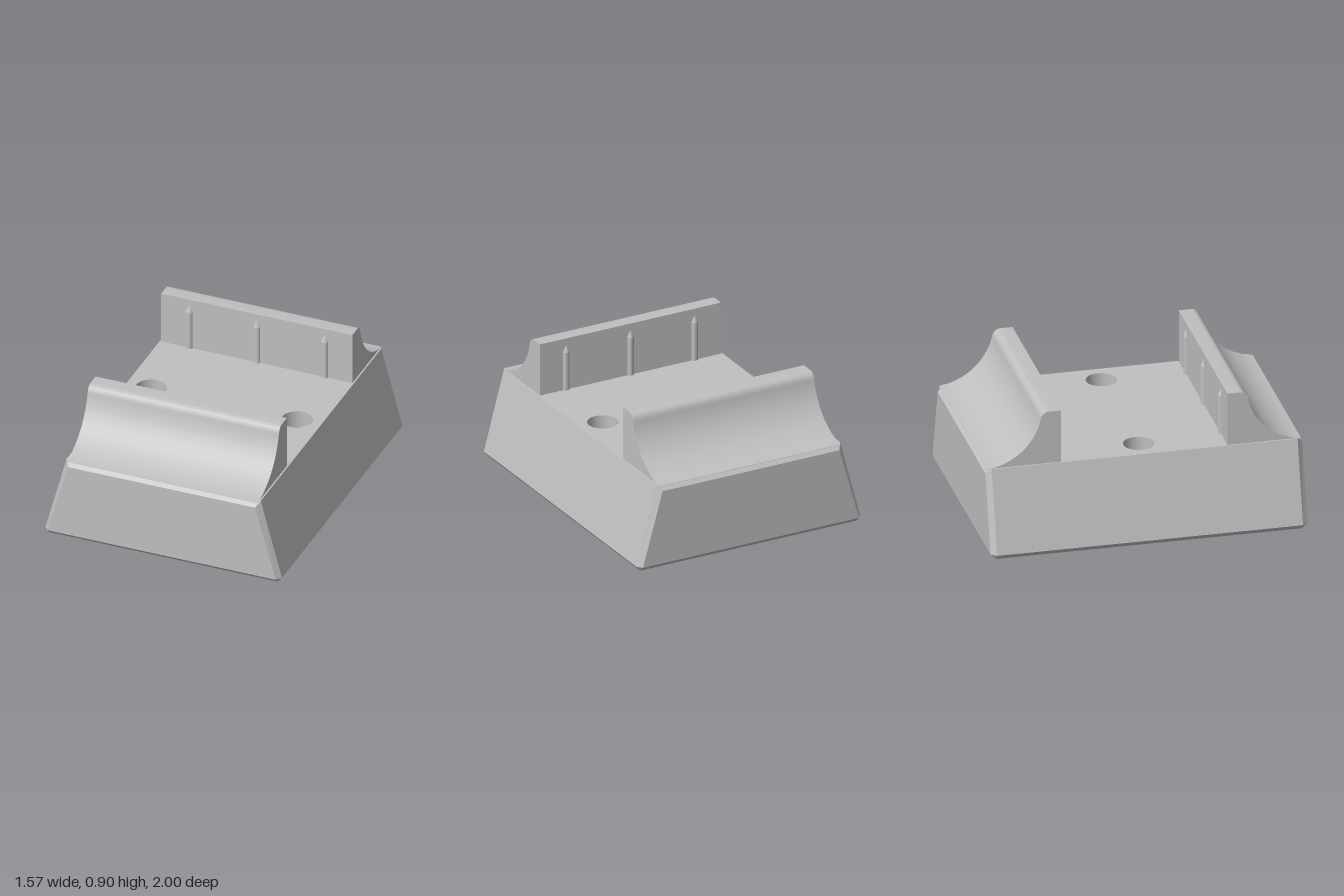
import * as THREE from 'three';
import { toCreasedNormals } from 'three/addons/utils/BufferGeometryUtils.js';

const TOP = 0.555, HOLE_X = 0.485, HOLE_R = 0.097;
const GROOVE_Z = 0.85, GROOVE_R = 0.055, GROOVE_L = 0.41;

// Octagonal loop: half-width x / cx and half-depth z / cz around chamfered corners
function section([y, x, z, cx, cz]) {
  return [[-cx, cz], [cx, cz], [x, z], [x, -z], [cx, -cz], [-cx, -cz], [-x, -z], [-x, z]]
    .map(([px, pz]) => [px, y, pz]);
}

// Flat-faced skin between successive loops
function skin(loops) {
  const pos = [];
  for (let l = 0; l < loops.length - 1; l++) {
    const a = loops[l], b = loops[l + 1];
    for (let i = 0; i < a.length; i++) {
      const j = (i + 1) % a.length;
      pos.push(...a[i], ...a[j], ...b[j], ...a[i], ...b[j], ...b[i]);
    }
  }
  const g = new THREE.BufferGeometry();
  g.setAttribute('position', new THREE.Float32BufferAttribute(pos, 3));
  g.computeVertexNormals();
  return g;
}

function rect(shape, x0, y0, x1, y1) {
  shape.moveTo(x0, y0).lineTo(x1, y0).lineTo(x1, y1).lineTo(x0, y1).closePath();
  return shape;
}

// Rectangular plate pierced by the two screw holes
function piercedPlate(hx, hz) {
  const s = rect(new THREE.Shape(), -hx, -hz, hx, hz);
  for (const side of [-1, 1]) {
    s.holes.push(new THREE.Path().absarc(side * HOLE_X, 0, HOLE_R, 0, Math.PI * 2, true));
  }
  return s;
}

export function createModel() {
  const model = new THREE.Group();
  model.name = 'cradleBlock';
  const grey = new THREE.MeshStandardMaterial({ color: 0xc0c0c0 });
  grey.name = 'lightGrey';

  const add = (name, geometry, parent = model) => {
    const mesh = new THREE.Mesh(geometry, grey);
    mesh.name = name;
    parent.add(mesh);
    return mesh;
  };

  // Tapered base with chamfered edges
  add('baseSides', skin([
    [0, 0.757, 0.965, 0.757, 0.965],
    [0.033, 0.785, 0.965, 0.757, 1],
    [0.52, 0.654, 0.965, 0.62, 1],
    [TOP, 0.645, 0.965, 0.645, 0.965],
  ].map(section)));

  const deck = new THREE.ShapeGeometry(piercedPlate(0.645, 0.965), 24);
  add('baseTop', deck.rotateX(-Math.PI / 2).translate(0, TOP, 0));

  const under = piercedPlate(0.757, 0.965);
  under.holes.push(rect(new THREE.Path(), -GROOVE_L / 2, GROOVE_Z - GROOVE_R,
    GROOVE_L / 2, GROOVE_Z + GROOVE_R));
  add('baseUnderside', new THREE.ShapeGeometry(under, 24).rotateX(Math.PI / 2));

  // Inward-facing walls of the screw holes
  for (const side of [-1, 1]) {
    const wall = new THREE.LatheGeometry(
      [new THREE.Vector2(HOLE_R, TOP), new THREE.Vector2(HOLE_R, 0)], 48);
    add('screwHole', wall.translate(side * HOLE_X, 0, 0));
  }

  // Rounded groove under the front edge
  const h = GROOVE_L / 2;
  const groove = new THREE.LatheGeometry(
    [[0, h], [GROOVE_R, h], [GROOVE_R, -h], [0, -h]].map(p => new THREE.Vector2(...p)),
    16, 0, Math.PI);
  add('pryGroove', toCreasedNormals(groove, 0.5)
    .rotateZ(Math.PI / 2).translate(0, 0, GROOVE_Z));

  // Upright jaw: flat inside, rounded top, hollow curve running out to a thin lip
  const rad = THREE.MathUtils.degToRad;
  const profile = new THREE.Shape();
  profile.moveTo(0.525, 0.55).lineTo(0.99, 0.55);
  profile.absarc(1.03, 0.935, 0.385, rad(264), rad(192), true);
  profile.quadraticCurveTo(0.642, 0.9, 0.6, 0.9);
  profile.lineTo(0.525, 0.9).closePath();
  const jawGeo = toCreasedNormals(
    new THREE.ExtrudeGeometry(profile, { depth: 1.27, bevelEnabled: false, curveSegments: 20 })
      .translate(0, 0, -0.635).rotateY(-Math.PI / 2), 0.5);

  // Pointed grip rib, half sunk into the jaw
  const ribGeo = toCreasedNormals(new THREE.LatheGeometry(
    [[0.024, 0.55], [0.024, 0.81], [0, 0.875]].map(p => new THREE.Vector2(...p)), 24), 0.2);

  for (const [name, turn] of [['frontJaw', 0], ['backJaw', Math.PI]]) {
    const jaw = new THREE.Group();
    jaw.name = name;
    jaw.rotation.y = turn;
    add('jawBody', jawGeo, jaw);
    for (const x of [-0.45, 0, 0.45]) add('gripRib', ribGeo, jaw).position.set(x, 0, 0.533);
    model.add(jaw);
  }
  return model;
}
